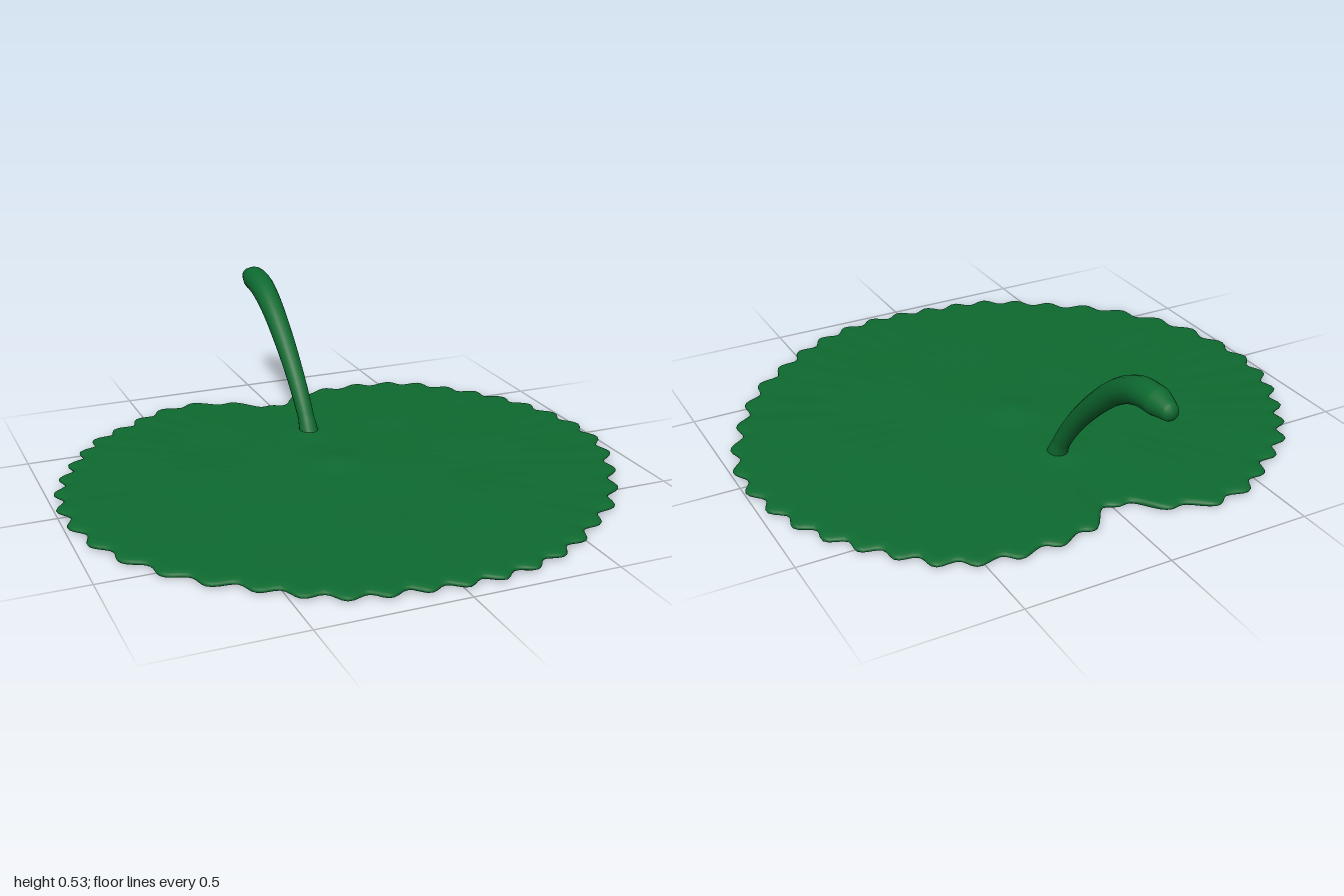
import * as THREE from 'three';
import { mergeVertices } from 'three/addons/utils/BufferGeometryUtils.js';

const green = new THREE.MeshStandardMaterial({ color: 0x0e6a30 });

// Leaf radius every 10 degrees, from the front (+z) round by +x to the notch and back
const RADII = [
  0.94, 0.95, 0.95, 0.94, 0.93, 0.94, 0.94, 0.95, 0.975,
  0.985, 0.98, 0.97, 0.955, 0.94, 0.935, 0.89, 0.83, 0.77,
  0.67, 0.77, 0.87, 0.905, 0.905, 0.935, 0.94, 0.955, 0.975,
  0.982, 0.98, 0.975, 0.96, 0.95, 0.93, 0.94, 0.95, 0.935,
];

// Smooth rim with small irregular teeth
function rimRadius(angle) {
  const n = RADII.length;
  const u = (angle / (Math.PI * 2)) * n;
  const i = Math.floor(u), t = u - i;
  const [a, b, c, d] = [-1, 0, 1, 2].map((k) => RADII[(i + k + n) % n]);
  const smooth = b + 0.5 * t * (c - a + t * (2 * a - 5 * b + 4 * c - d + t * (3 * (b - c) + d - a)));
  return smooth + 0.017 * Math.sin(44 * angle + 2 * Math.sin(3 * angle) + 1);
}

const bump = (x, z, cx, cz, width) => Math.exp(-((x - cx) ** 2 + (z - cz) ** 2) / (width * width));

// Upper surface: shallow dome, raised middle, collar at the stalk, faint ripples
function topHeight(x, z, f) {
  const ripple = Math.sin(9 * x + 4 * z) * Math.sin(11 * z - 3 * x + 1);
  return 0.024 + 0.014 * (1 - f)
    + 0.013 * bump(x, z, 0, -0.02, 0.08)
    + 0.01 * bump(x, z, 0, -0.34, 0.07)
    + 0.0015 * ripple * f * (1 - f) * 4;
}

// Closed blade: rings run from the top centre over the rounded rim to the underside
function leafGeometry() {
  const around = 352;
  const rings = [];
  for (let i = 0; i <= 24; i++) rings.push([0.96 * i / 24, 1]);
  for (let i = 1; i < 8; i++) {
    const a = (i / 8) * Math.PI;
    rings.push([0.96 + 0.04 * Math.sin(a), Math.cos(a)]);
  }
  for (let i = 4; i >= 0; i--) rings.push([0.96 * i / 4, -1]);

  const positions = [], index = [];
  rings.forEach(([f, side], r) => {
    for (let j = 0; j < around; j++) {
      const angle = (j / around) * Math.PI * 2;
      const radius = f * rimRadius(angle);
      const x = radius * Math.sin(angle), z = radius * Math.cos(angle);
      positions.push(x, topHeight(x, z, f) * (side + 1) / 2, z);
      if (r === rings.length - 1) continue;
      const a = r * around + j, d = r * around + (j + 1) % around;
      index.push(a, a + around, d + around, a, d + around, d);
    }
  });
  const geometry = new THREE.BufferGeometry();
  geometry.setAttribute('position', new THREE.Float32BufferAttribute(positions, 3));
  geometry.setIndex(index);
  const merged = mergeVertices(geometry, 1e-5);
  merged.computeVertexNormals();
  return merged;
}

// Arching stalk: a tube whose radius swells toward the top and closes at the tip
function stalkGeometry() {
  const path = new THREE.CatmullRomCurve3([
    [0.01, 0.02, -0.33], [0.008, 0.08, -0.358], [0.004, 0.185, -0.43], [0, 0.305, -0.54],
    [-0.004, 0.415, -0.67], [-0.004, 0.468, -0.775], [-0.002, 0.483, -0.86], [0, 0.478, -0.97],
  ].map((p) => new THREE.Vector3(...p)));
  const thickness = [
    [0, 0.036], [0.08, 0.03], [0.3, 0.034], [0.6, 0.041], [0.8, 0.047],
    [0.9, 0.046], [0.96, 0.033], [0.985, 0.027], [0.995, 0.017], [1, 0],
  ];
  const radiusAt = (t) => {
    const k = Math.max(1, thickness.findIndex(([u]) => u >= t));
    const [u0, r0] = thickness[k - 1], [u1, r1] = thickness[k];
    return THREE.MathUtils.lerp(r0, r1, (t - u0) / (u1 - u0));
  };

  const rows = 100, sides = 16;
  const tube = new THREE.TubeGeometry(path, rows, 1, sides);
  const pos = tube.attributes.position, v = new THREE.Vector3();
  for (let i = 0; i < pos.count; i++) {
    const t = Math.floor(i / (sides + 1)) / rows;
    const centre = path.getPointAt(t);
    v.fromBufferAttribute(pos, i).sub(centre).multiplyScalar(radiusAt(t)).add(centre);
    pos.setXYZ(i, v.x, Math.max(v.y, 0.004), v.z);
  }
  tube.deleteAttribute('normal');
  tube.deleteAttribute('uv');
  const merged = mergeVertices(tube, 1e-5);
  merged.computeVertexNormals();
  return merged;
}

export function createModel() {
  const group = new THREE.Group();
  group.name = 'lilyPad';
  const add = (name, geometry) => {
    const mesh = new THREE.Mesh(geometry, green);
    mesh.name = name;
    group.add(mesh);
  };
  add('leafBlade', leafGeometry());
  add('stalk', stalkGeometry());
  return group;
}
